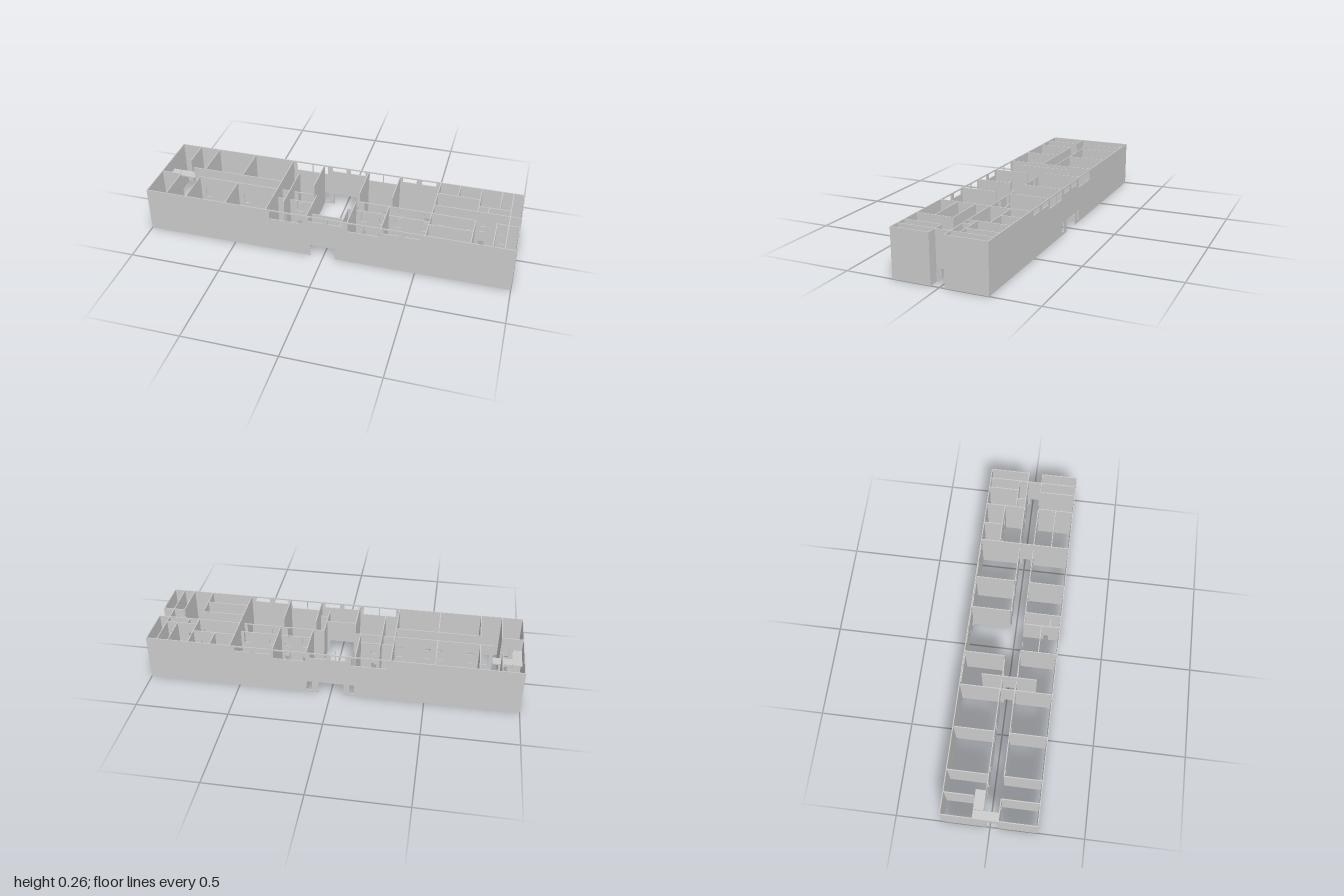
import * as THREE from 'three';
import { mergeGeometries } from 'three/addons/utils/BufferGeometryUtils.js';

const H = 0.257, T = 0.005;

export function createModel() {
  const model = new THREE.Group();
  const material = new THREE.MeshStandardMaterial({ color: 0xcccccc, flatShading: true });

  // Upright wall from a to b along one axis, with openings [a0, a1, y0, y1]
  function wall(name, axis, at, a, b, openings = [], top = H) {
    const cuts = [a, b];
    openings.forEach(([p, q]) => cuts.push(p, q));
    const edges = [...new Set(cuts)].filter(c => c >= a && c <= b).sort((p, q) => p - q);
    const parts = [];
    for (let i = 0; i < edges.length - 1; i++) {
      const p = edges[i], q = edges[i + 1], mid = (p + q) / 2;
      const holes = openings.filter(o => o[0] < mid && o[1] > mid).sort((m, n) => m[2] - n[2]);
      let y = 0;
      for (const [, , y0, y1] of [...holes, [0, 0, top, top]]) {
        if (y0 > y) {
          const along = q - p, h = y0 - y;
          const g = axis === 'x' ? new THREE.BoxGeometry(along, h, T) : new THREE.BoxGeometry(T, h, along);
          const c = axis === 'x' ? [mid, y + h / 2, at] : [at, y + h / 2, mid];
          parts.push(g.translate(...c));
        }
        y = Math.max(y, y1);
      }
    }
    const mesh = new THREE.Mesh(mergeGeometries(parts), material);
    mesh.name = name;
    model.add(mesh);
  }

  function box(name, x0, x1, y0, y1, z0, z1) {
    const mesh = new THREE.Mesh(new THREE.BoxGeometry(x1 - x0, y1 - y0, z1 - z0), material);
    mesh.name = name;
    mesh.position.set((x0 + x1) / 2, (y0 + y1) / 2, (z0 + z1) / 2);
    model.add(mesh);
  }

  // High windows shared by both long walls, and the entrances
  const windows = [
    [-0.295, -0.203, 0.2, 0.25], [-0.198, -0.11, 0.2, 0.25],
    [-0.08, 0, 0.225, 0.25], [0.025, 0.11, 0.225, 0.25],
    [0.135, 0.213, 0.2, 0.25], [0.218, 0.305, 0.2, 0.25],
    [0.325, 0.405, 0.225, 0.25], [0.435, 0.515, 0.225, 0.25]
  ];
  const entrance = [-0.07, 0.065, 0, 0.07];
  const sideLights = [[-0.13, -0.1, 0.015, 0.07], [0.1, 0.13, 0.015, 0.07]];
  wall('frontWall', 'x', 0.2455, -1, 1, [...windows, entrance]);
  wall('backWall', 'x', -0.2475, -1, 1, [...windows, entrance, ...sideLights]);
  box('entrancePost', 0.018, 0.023, 0, 0.07, 0.046, 0.051);

  // End walls: a doorway on one, an open corridor on the other
  wall('rightEndWall', 'z', -0.9975, -0.25, 0.248, [[-0.02, 0.045, 0, 0.18]]);
  wall('leftEndWallBack', 'z', 0.9975, -0.25, -0.027);
  wall('leftEndWallFront', 'z', 0.9975, 0.05, 0.248);

  // Corridor walls with doors on two levels; the middle stretch is lower
  const doors = xs => xs.flatMap(x => [[x, x + 0.03, 0, 0.068], [x, x + 0.03, 0.13, 0.195]]);
  const corridor = [
    ['backCorridorWall', -0.031, [
      [-0.84, -0.315, H, [-0.82, -0.74, -0.58, -0.51, -0.36]],
      [-0.315, -0.13, 0.2, [-0.22]],
      [0.13, 0.54, 0.2, [0.16, 0.26, 0.35, 0.49]],
      [0.54, 1, H, [0.57, 0.72, 0.79, 0.89]]]],
    ['frontCorridorWall', 0.048, [
      [-1, -0.885, H, [-0.93]],
      [-0.77, -0.315, H, [-0.74, -0.58, -0.51, -0.36]],
      [-0.315, -0.09, 0.2, [-0.2]],
      [0.085, 0.54, 0.2, [0.16, 0.26, 0.35, 0.49]],
      [0.54, 0.77, H, [0.57, 0.72]],
      [0.88, 1, H, [0.9]]]]
  ];
  for (const [name, z, runs] of corridor)
    for (const [a, b, top, xs] of runs) wall(name, 'x', z, a, b, doors(xs), top);

  // Partitions between the rooms on each side
  for (const x of [-0.77, -0.545, -0.315, -0.13, 0.13, 0.31, 0.54, 0.77, 0.94])
    wall('backPartition', 'z', x, -0.246, -0.031);
  for (const x of [-0.885, -0.77, -0.545, -0.315, -0.09, 0.13, 0.31, 0.54, 0.77, 0.88, 0.94])
    wall('frontPartition', 'z', x, 0.048, 0.244);
  wall('backPartition', 'z', -0.885, -0.246, -0.09);
  wall('backPartition', 'z', 0.88, -0.246, -0.08);

  // Walls crossing the corridor, each with a low doorway
  for (const x of [-0.315, 0.54, 0.94])
    wall('corridorCrossWall', 'z', x, -0.031, 0.048, [[-0.012, 0.035, 0, 0.068]]);
  wall('lobbyCrossWall', 'z', -0.245, -0.14, 0.155, [[-0.012, 0.035, 0, 0.068]]);

  // Smaller rooms
  wall('washroomWall', 'x', -0.143, 0.54, 0.77, doors([0.58, 0.7]));
  wall('washroomDivider', 'z', 0.65, -0.246, -0.143);
  wall('storeWall', 'x', -0.08, 0.77, 0.94, doors([0.79, 0.895]));
  wall('storeDivider', 'z', 0.825, -0.08, -0.031);
  wall('serviceWall', 'x', 0.147, 0.54, 0.77, doors([0.58, 0.7]));
  wall('vestibuleWall', 'x', 0.145, -0.09, 0.085, [entrance], 0.2);
  wall('vestibuleSide', 'z', 0.085, 0.048, 0.244, [[0.16, 0.19, 0, 0.068]], 0.2);
  wall('closetWall', 'x', 0.19, 0.085, 0.13, [], 0.2);

  // Landings over the end doorway
  box('landing', -0.995, -0.945, 0.178, 0.184, -0.09, 0.048);
  box('landing', -0.943, -0.84, 0.178, 0.184, -0.09, -0.036);

  return model;
}
